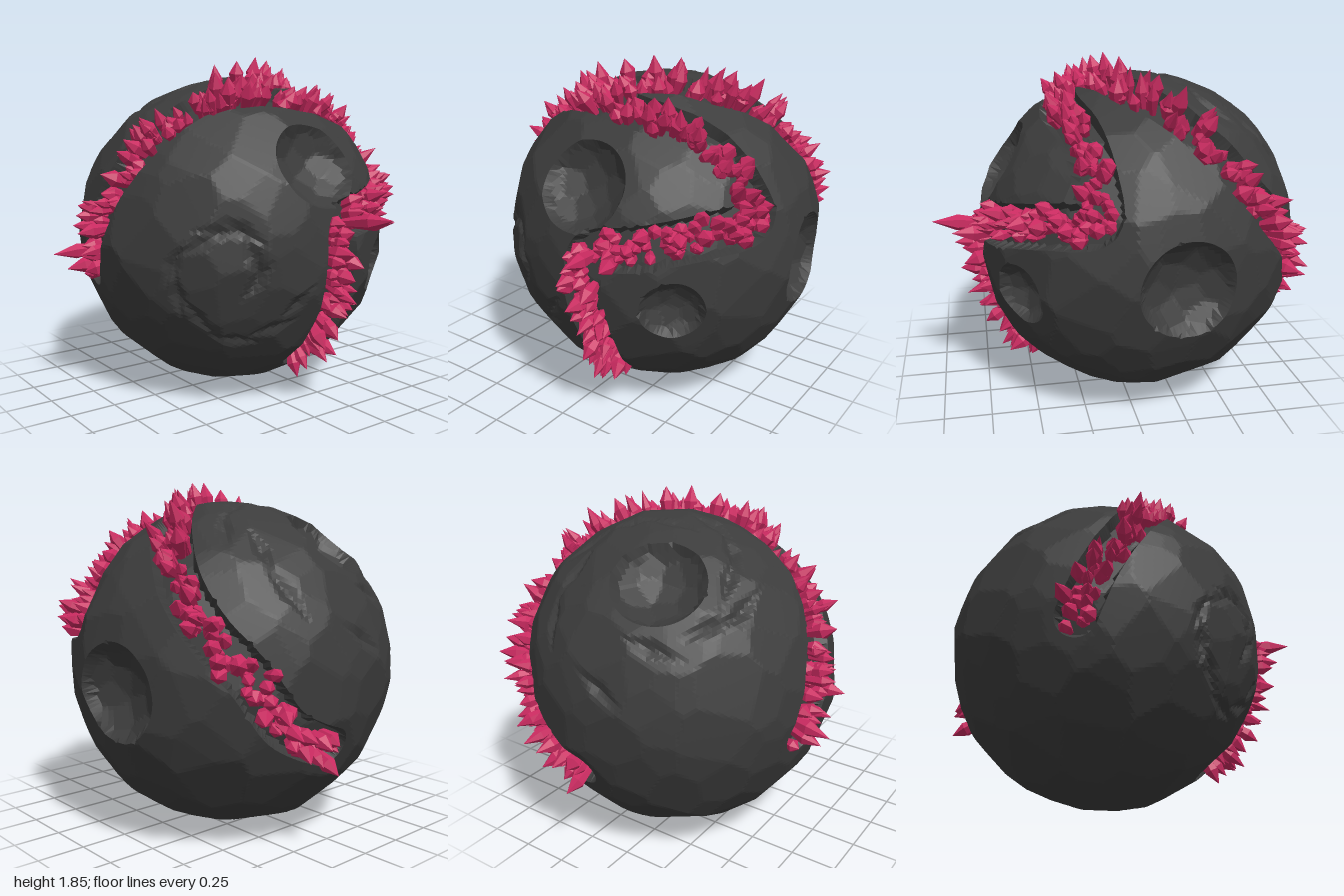
import * as THREE from 'three';
import { mergeGeometries } from 'three/addons/utils/BufferGeometryUtils.js';

const R = 0.87;
const CENTRE = new THREE.Vector3(0.09, 0.87, -0.1);
const V = (x, y, z) => new THREE.Vector3(x, y, z);

// Small seeded random generator
let seed = 11;
const rnd = () => {
  seed = (seed * 1664525 + 1013904223) % 4294967296;
  return seed / 4294967296;
};
const spread = (s) => (rnd() * 2 - 1) * s;

// Path of a crystal vein, as directions from the centre of the rock
function veinPath(points) {
  const curve = new THREE.CatmullRomCurve3(points.map((p) => V(...p).sub(CENTRE).normalize()));
  return curve.getSpacedPoints(110).map((p) => p.normalize());
}

// Two directions across the surface at u
function tangents(u) {
  const side = V(0.3, 1, 0.2).cross(u).normalize();
  return [side, u.clone().cross(side)];
}

// Round crater made of flat facets, seen from the centre of the rock
function crater(dir, rim, depth, count) {
  const u = V(...dir).normalize();
  const [side, up] = tangents(u);
  const rho = (rim * rim + depth * depth) / (2 * depth);
  const angle = Math.asin(rim / R);
  const middle = u.clone().multiplyScalar(R * Math.cos(angle) - depth + rho);
  const planes = [];
  for (let i = 0; i < count; i++) {
    const t = rim * 1.02 * Math.sqrt((i + 0.3) / count);
    const a = i * 2.4 + spread(0.3);
    const m = u.clone().multiplyScalar(-Math.sqrt(Math.max(rho * rho - t * t, 0.001)))
      .addScaledVector(side, t * Math.cos(a)).addScaledVector(up, t * Math.sin(a)).normalize();
    planes.push({ m, k: rho + m.dot(middle) });
  }
  return { u, angle, planes };
}

// Long shallow scratch at a turn and distance from a pivot direction, running around it
function gouge(pivot, distance, turn, length, width, depth) {
  const [side, up] = tangents(pivot);
  const out = side.clone().multiplyScalar(Math.cos(turn)).addScaledVector(up, Math.sin(turn));
  const u = pivot.clone().multiplyScalar(Math.cos(distance)).addScaledVector(out, Math.sin(distance));
  const along = pivot.clone().cross(out).addScaledVector(out, 0.35);
  along.addScaledVector(u, -along.dot(u)).normalize();
  return { u, along, across: u.clone().cross(along), length, width, depth };
}

// Slide a direction so that it lies at a given angle from a pivot direction
function slide(p, pivot, angle) {
  const t = p.clone().addScaledVector(pivot, -p.dot(pivot)).normalize();
  return p.copy(pivot).multiplyScalar(Math.cos(angle)).addScaledVector(t, Math.sin(angle));
}

function buildRock(veins, craters, gouges) {
  // Flat facets of the outer surface
  const facets = [];
  const n = 260;
  for (let i = 0; i < n; i++) {
    const y = 1 - (2 * i + 1) / n;
    const s = Math.sqrt(1 - y * y);
    const dir = V(s * Math.cos(i * 2.39996), y, s * Math.sin(i * 2.39996));
    dir.add(V(spread(0.1), spread(0.1), spread(0.1))).normalize();
    facets.push({ dir, d: R * (0.993 + spread(0.009)) });
  }
  const line = veins.flat();
  const half = 0.128, near = 0.012;
  const geo = new THREE.IcosahedronGeometry(1, 46);
  const pos = geo.attributes.position;
  const p = V(0, 0, 0);
  for (let i = 0; i < pos.count; i++) {
    p.fromBufferAttribute(pos, i).normalize();
    // Keep crater rims and groove edges clean
    for (const h of craters) {
      if (Math.abs(p.angleTo(h.u) - h.angle) < near) slide(p, h.u, h.angle);
    }
    let best = 9, nearest = line[0];
    for (const q of line) {
      const d = p.distanceToSquared(q);
      if (d < best) { best = d; nearest = q; }
    }
    let gap = Math.sqrt(best);
    if (Math.abs(gap - half) < near) {
      slide(p, nearest, half);
      gap = half + 0.001;
    }
    let r = 9;
    for (const f of facets) {
      const c = p.dot(f.dir);
      if (c > 0.5) r = Math.min(r, f.d / c);
    }
    for (const g of gouges) {
      if (p.dot(g.u) < 0.8) continue;
      const e = Math.abs(p.dot(g.along) / g.length) + Math.abs(p.dot(g.across) / g.width);
      r -= g.depth * Math.max(0, 1 - e);
    }
    if (gap < half) r -= 0.065;
    for (const h of craters) {
      if (p.angleTo(h.u) > h.angle - 0.0005) continue;
      let entry = 0;
      for (const { m, k } of h.planes) {
        const c = m.dot(p);
        if (c < -0.05) entry = Math.max(entry, k / c);
      }
      r = Math.min(r, entry);
    }
    pos.setXYZ(i, p.x * r, p.y * r, p.z * r);
  }
  geo.computeVertexNormals();
  return geo;
}

// One pointed crystal standing on the groove floor
function crystal(dir, tip, width, lean) {
  const base = R - 0.09;
  const h = tip - base;
  const profile = [[width * 0.45, 0], [width, h * (0.5 + rnd() * 0.2)], [0, h]];
  const geo = new THREE.LatheGeometry(profile.map(([x, y]) => new THREE.Vector2(x, y)), 6).toNonIndexed();
  const axis = dir.clone().add(V(spread(lean), spread(lean), spread(lean))).normalize();
  geo.rotateY(rnd() * 6);
  geo.applyQuaternion(new THREE.Quaternion().setFromUnitVectors(V(0, 1, 0), axis));
  geo.translate(dir.x * base, dir.y * base, dir.z * base);
  geo.computeVertexNormals();
  return geo;
}

function buildCrystals(path, count) {
  const parts = [];
  for (let i = 0; i < count; i++) {
    const dir = path[Math.floor((i / count) * path.length)].clone();
    dir.add(V(spread(0.075), spread(0.075), spread(0.075))).normalize();
    const tip = rnd() < 0.25 ? 0.95 + rnd() * 0.05 : 0.885 + rnd() * 0.06;
    parts.push(crystal(dir, tip, 0.028 + rnd() * 0.018, 0.22));
  }
  return parts;
}

export function createModel() {
  const rockGrey = new THREE.MeshStandardMaterial({ color: 0x3c3c3c, flatShading: true });
  rockGrey.name = 'rockGrey';
  const crystalPink = new THREE.MeshStandardMaterial({ color: 0xc92a60, flatShading: true });
  crystalPink.name = 'crystalPink';

  const frontVein = veinPath([
    [0.15, 0.24, 0.47], [0.18, 0.5, 0.68], [0.17, 0.8, 0.76], [0.2, 0.98, 0.75], [0.45, 1.04, 0.67],
    [0.7, 1.1, 0.45], [0.84, 1.15, 0.23], [0.77, 1.35, 0.24], [0.55, 1.53, 0.28],
    [0.25, 1.61, 0.34], [0, 1.63, 0.3], [-0.25, 1.58, 0.2],
  ]);
  const capVein = veinPath([
    [-0.76, 0.72, -0.22], [-0.73, 1.0, -0.1], [-0.58, 1.3, 0.05], [-0.35, 1.53, 0.15], [-0.1, 1.66, 0.17],
    [0.1, 1.7, 0.12], [0.35, 1.65, 0], [0.55, 1.53, -0.2], [0.68, 1.3, -0.43], [0.7, 1.12, -0.63],
    [0.6, 0.93, -0.79], [0.42, 0.67, -0.87], [0.17, 0.55, -0.9],
  ]);

  const craters = [
    crater([0, 0.42, 0.75], 0.24, 0.12, 16),
    crater([0.5, -0.155, 0.69], 0.165, 0.09, 14),
    crater([0.86, -0.06, -0.1], 0.25, 0.12, 16),
    crater([-0.23, 0.67, -0.5], 0.24, 0.12, 16),
  ];

  // Scratches swirling around the cap crater and over the front left plate
  const gouges = [];
  const capMiddle = craters[3].u;
  const frontMiddle = V(-0.5, -0.1, 0.7).normalize();
  for (let i = 0; i < 12; i++) {
    gouges.push(gouge(capMiddle, 0.4 + (i % 4) * 0.1, i * 1.35, 0.22, 0.06, 0.025));
    gouges.push(gouge(frontMiddle, 0.15 + (i % 4) * 0.1, i * 1.7, 0.18, 0.06, 0.025));
  }

  const group = new THREE.Group();
  group.name = 'crystalRock';

  const rock = new THREE.Mesh(buildRock([frontVein, capVein], craters, gouges), rockGrey);
  rock.name = 'rock';
  const frontCrystals = new THREE.Mesh(mergeGeometries(buildCrystals(frontVein, 180)), crystalPink);
  frontCrystals.name = 'frontCrystals';
  const capCrystals = new THREE.Mesh(mergeGeometries(buildCrystals(capVein, 180)), crystalPink);
  capCrystals.name = 'capCrystals';

  // Longest spikes
  const spikes = [
    [0.18, 0.15, 1.1], [0.3, 0.12, 1.0], [-1.03, -0.08, -0.2], [-0.97, -0.16, -0.16], [-0.95, 0.08, -0.12],
    [0.17, 0.97, 0.12], [0.04, 0.98, 0.18], [-0.12, 0.95, 0.22], [0.52, 0.86, -0.14], [0.1, -0.44, -0.88],
    [0.17, -0.3, -0.9], [0.71, 0.15, -0.7], [0.83, 0.27, 0.36], [0.78, 0.26, 0.52], [-0.72, 0.65, 0.2],
  ];
  const longSpikes = new THREE.Mesh(mergeGeometries(spikes.map((s) => {
    const d = V(...s);
    return crystal(d.clone().normalize(), d.length(), 0.042, 0);
  })), crystalPink);
  longSpikes.name = 'longSpikes';

  for (const mesh of [rock, frontCrystals, capCrystals, longSpikes]) {
    mesh.position.copy(CENTRE);
    group.add(mesh);
  }
  return group;
}
